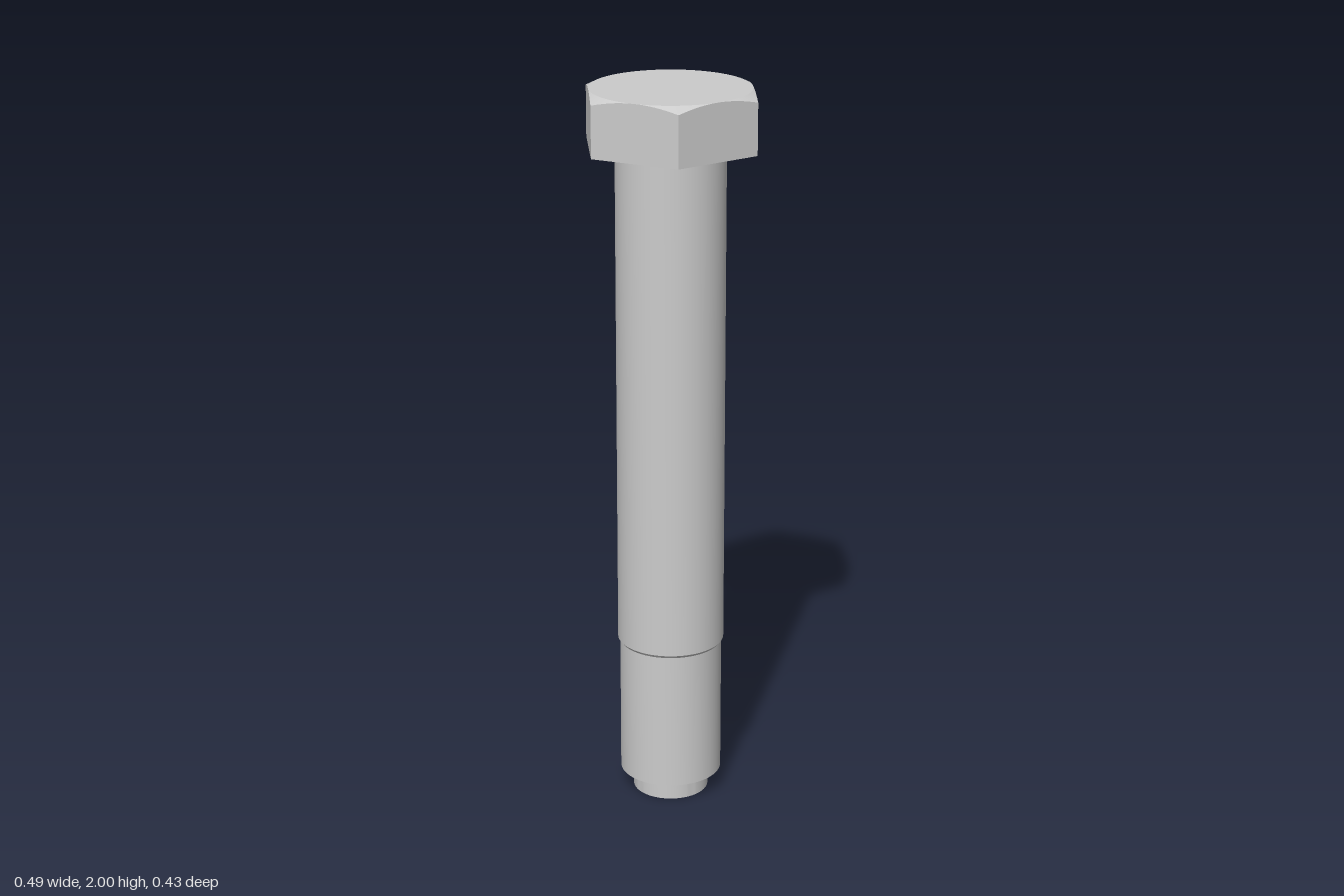
import * as THREE from 'three';
import { toCreasedNormals } from 'three/addons/utils/BufferGeometryUtils.js';

const CREASE = 0.3;
const material = new THREE.MeshStandardMaterial({ color: 0xcccccc });

function part(name, geometry) {
  const mesh = new THREE.Mesh(toCreasedNormals(geometry, CREASE), material);
  mesh.name = name;
  return mesh;
}

// Hexagonal head: rings joined from the underside up to the chamfered top
function headGeometry(bottom, top, apothem) {
  const perSide = 16, n = perSide * 6;
  const hexRadius = (a) => {
    const t = a % (Math.PI / 3);
    return apothem / Math.cos(t - Math.PI / 6);
  };
  const rings = [
    () => [0, bottom],
    (a) => [hexRadius(a), bottom],
    (a) => [hexRadius(a), top - (hexRadius(a) - apothem) * 0.5], // conical chamfer edge
    () => [apothem, top],
    () => [0, top],
  ];
  const point = (ring, i) => {
    const a = ((i % n) / n) * Math.PI * 2 + 1e-9;
    const [r, y] = ring(a);
    return new THREE.Vector3(r * Math.cos(a), y, r * Math.sin(a));
  };
  const positions = [];
  const addTriangle = (...p) => {
    if (new THREE.Triangle(...p).getArea() < 1e-9) return;
    p.forEach((v) => positions.push(v.x, v.y, v.z));
  };
  for (let k = 0; k < rings.length - 1; k++) {
    for (let i = 0; i < n; i++) {
      const lowA = point(rings[k], i), lowB = point(rings[k], i + 1);
      const upA = point(rings[k + 1], i), upB = point(rings[k + 1], i + 1);
      addTriangle(lowA, upA, upB);
      addTriangle(lowA, upB, lowB);
    }
  }
  const geometry = new THREE.BufferGeometry();
  geometry.setAttribute('position', new THREE.Float32BufferAttribute(positions, 3));
  return geometry;
}

export function createModel() {
  const bolt = new THREE.Group();
  bolt.name = 'hexBolt';

  // Turned body: pilot tip, threaded end, chamfered shoulder, shank, flare under the head
  const profile = [
    [0, 0], [0.104, 0], [0.104, 0.06],
    [0.14, 0.06], [0.14, 0.45],
    [0.146, 0.458], [0.146, 1.835], [0.154, 1.845],
  ].map(([r, y]) => new THREE.Vector2(r, y));
  bolt.add(part('shank', new THREE.LatheGeometry(profile, 72)));

  bolt.add(part('head', headGeometry(1.845, 2, 0.213)));
  return bolt;
}
